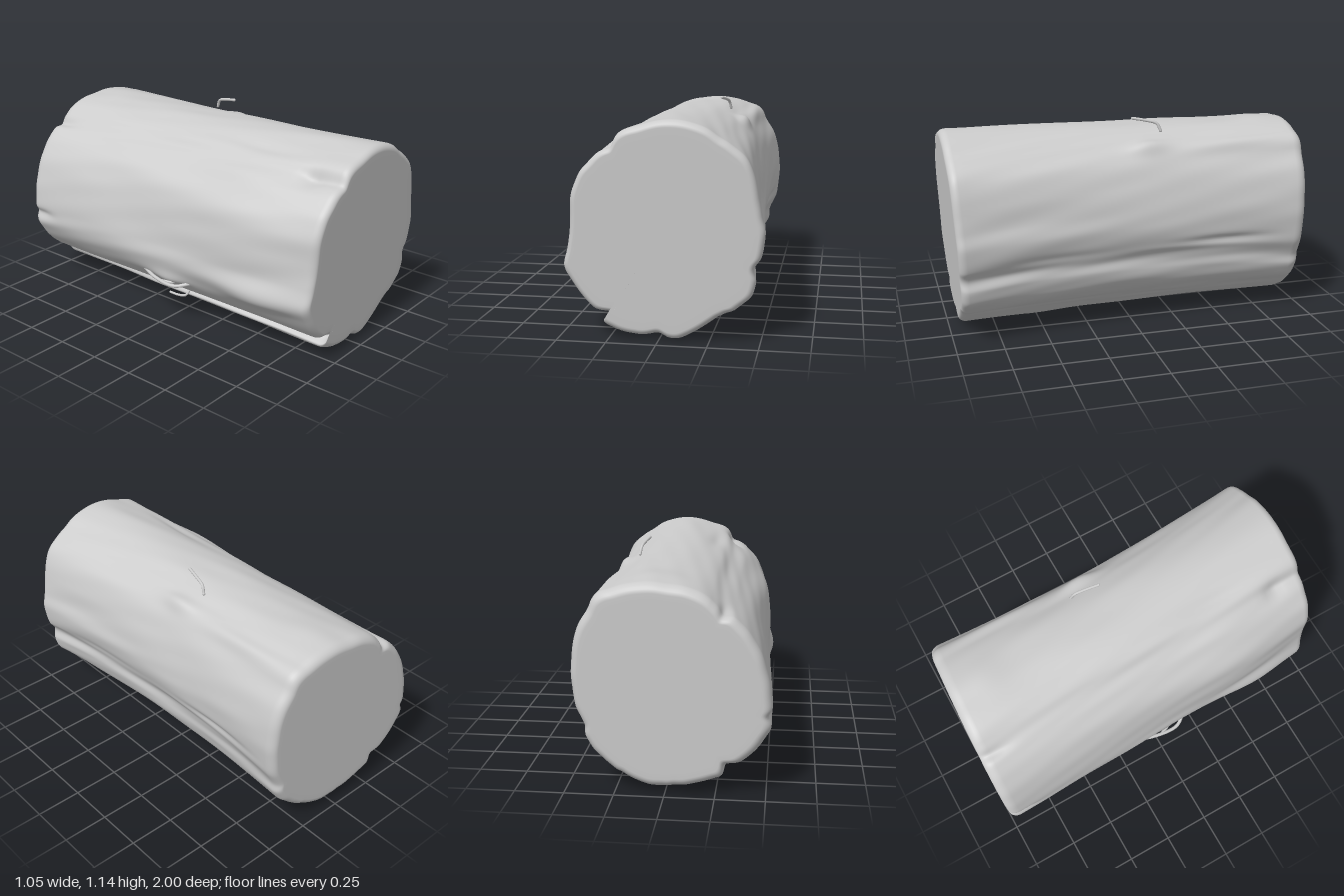
import * as THREE from 'three';

const V = (x, y, z = 0) => new THREE.Vector3(x, y, z);

// matching cross-sections of the two ends, clockwise from the top: [x, y, x, y, ...]
const FRONT = [0.05, 1.1, 0.2, 1.08, 0.3, 1.03, 0.37, 0.98, 0.45, 0.9, 0.49, 0.77, 0.51, 0.65, 0.53, 0.56,
  0.505, 0.44, 0.475, 0.38, 0.485, 0.32, 0.465, 0.25, 0.39, 0.18, 0.33, 0.155, 0.28, 0.12, 0.14, 0.03,
  0.06, 0.015, 0, 0.04, -0.1, 0.025, -0.22, 0.05, -0.275, 0.09, -0.23, 0.13, -0.32, 0.155, -0.42, 0.27,
  -0.465, 0.37, -0.44, 0.47, -0.425, 0.6, -0.415, 0.72, -0.38, 0.83, -0.31, 0.91, -0.24, 0.97, -0.19, 1.03, -0.08, 1.07];
const BACK = [0, 1.065, 0.14, 1.065, 0.26, 1.035, 0.325, 1.005, 0.37, 0.94, 0.43, 0.84, 0.46, 0.7, 0.465, 0.57,
  0.445, 0.43, 0.41, 0.34, 0.4, 0.28, 0.36, 0.21, 0.3, 0.15, 0.25, 0.11, 0.2, 0.08, 0.09, 0.04,
  0, 0.035, -0.06, 0.04, -0.15, 0.055, -0.25, 0.09, -0.3, 0.12, -0.325, 0.16, -0.385, 0.19, -0.48, 0.29,
  -0.525, 0.38, -0.53, 0.47, -0.515, 0.6, -0.47, 0.73, -0.41, 0.84, -0.34, 0.91, -0.275, 0.95, -0.22, 1, -0.12, 1.045];

// local bumps (+) and dents (-): x, y, z, radius across, radius along z, height
const BUMPS = [
  [-0.2, 0.96, 0.92, 0.04, 0.12, -0.05], [-0.25, 0.98, 0.82, 0.05, 0.05, -0.025], [-0.15, 1.03, 0.45, 0.04, 0.2, -0.015],
  [0.33, 1.01, -0.1, 0.05, 0.1, 0.035], [0.3, 1.05, 0.0, 0.03, 0.05, -0.015], [0.34, 1.0, -0.55, 0.05, 0.3, 0.02],
  [0.47, 0.45, 0.35, 0.03, 0.3, -0.015], [0.44, 0.41, -0.3, 0.03, 0.35, -0.015], [0.44, 0.48, -0.5, 0.025, 0.25, -0.015],
  [0.4, 0.15, -0.65, 0.05, 0.08, 0.015], [0.05, 0.02, 0.55, 0.08, 0.2, 0.015], [0.05, 1.08, -0.8, 0.12, 0.12, 0.012],
  [-0.46, 0.6, 0.55, 0.15, 0.35, 0.03], [-0.43, 0.75, 0.5, 0.1, 0.4, 0.025], [-0.3, 0.92, 0.5, 0.08, 0.25, 0.02],
  [-0.47, 0.35, 0.65, 0.08, 0.22, 0.025],
  [-0.45, 0.27, 0.05, 0.04, 0.12, 0.025], [-0.3, 0.94, -0.95, 0.03, 0.1, -0.02],
  [-0.52, 0.42, -0.95, 0.03, 0.1, -0.025], [-0.31, 0.14, -0.95, 0.03, 0.15, -0.025],
];

function sectionPoints(list, count) {
  const pts = [];
  for (let i = 0; i < list.length; i += 2) pts.push(V(list[i], list[i + 1]));
  const curve = new THREE.CatmullRomCurve3(pts, true);
  return Array.from({ length: count }, (_, i) => curve.getPoint(i / count));
}

// one surface point: p on the outline, t along the log, s = scale towards the axis
function barkPoint(p, t, s, around) {
  const bend = 4 * t * (1 - t);
  const rightSide = THREE.MathUtils.smoothstep(p.x, -0.2, 0.4);
  let x = p.x - 0.04 * bend * rightSide;
  // grooves on the lower right bow upwards halfway along
  let y = p.y + 0.04 * bend * rightSide * Math.exp(-(((p.y - 0.37) / 0.2) ** 2));
  const z0 = 1 - 2 * t;
  const dir = V(x, y - 0.55).normalize();
  let h = 0.003 * Math.sin(around * 11 + 2 * Math.sin(t * 5)) * Math.sin(t * 9 + around * 3)
    + 0.0015 * Math.sin(around * 26 + t * 6) * Math.sin(t * 14 + around * 5);
  for (const [bx, by, bz, r, rz, d] of BUMPS) {
    h += d * Math.exp(-((x - bx) ** 2 + (y - by) ** 2) / (r * r) - ((z0 - bz) / rz) ** 2);
  }
  x = (x + dir.x * h) * s;
  y = 0.55 + (y - 0.55 + dir.y * h) * s;
  // slightly slanted saw cuts
  const zFront = 0.945 + 0.052 * y;
  const zBack = -0.977 + 0.045 * x - 0.02 * (y - 0.5);
  return [x, Math.max(y, 0), THREE.MathUtils.lerp(zFront, zBack, t)];
}

// rings from the middle of a cut, over its rounded edge: [t, scale]
function capRings(radius) {
  const rings = [0.001, 0.3, 0.6, 0.85].map((s) => [0, s]);
  for (let k = 0; k < 7; k++) {
    const a = k / 7 * Math.PI / 2;
    rings.push([radius / 2 * (1 - Math.cos(a)), 1 - radius * 1.5 * (1 - Math.sin(a))]);
  }
  return rings;
}

function logGeometry() {
  const N = 330, front = sectionPoints(FRONT, N), back = sectionPoints(BACK, N);
  const rFront = 0.045, rBack = 0.06;
  const stations = capRings(rFront);
  for (let i = 0; i <= 50; i++) stations.push([THREE.MathUtils.lerp(rFront / 2, 1 - rBack / 2, i / 50), 1]);
  capRings(rBack).reverse().forEach(([t, s]) => stations.push([1 - t, s]));
  const pos = [], idx = [];
  stations.forEach(([t, s], i) => {
    for (let j = 0; j < N; j++) {
      pos.push(...barkPoint(front[j].clone().lerp(back[j], t), t, s, j / N * Math.PI * 2));
      if (i === stations.length - 1) continue;
      const a = i * N + j, b = i * N + (j + 1) % N, c = a + N, d = b + N;
      idx.push(a, b, c, b, d, c);
    }
  });
  const g = new THREE.BufferGeometry();
  g.setAttribute('position', new THREE.Float32BufferAttribute(pos, 3));
  g.setIndex(idx);
  g.computeVertexNormals();
  return g;
}

export function createModel() {
  const group = new THREE.Group();
  const mat = new THREE.MeshStandardMaterial({ color: 0xcccccc });
  const add = (name, geo) => {
    const m = new THREE.Mesh(geo, mat);
    m.name = name;
    group.add(m);
  };
  add('log', logGeometry());

  // thin broken twigs, each a tube closed by round ends
  const twig = (name, r, ...pts) => {
    add(name, new THREE.TubeGeometry(new THREE.CatmullRomCurve3(pts), 16, r, 8));
    for (const p of [pts[0], pts[pts.length - 1]]) {
      add(name + 'End', new THREE.SphereGeometry(r, 8, 6).translate(p.x, p.y, p.z));
    }
  };
  twig('topTwig', 0.008, V(0.19, 1.13, -0.03), V(0.205, 1.118, -0.1), V(0.217, 1.1, -0.16), V(0.225, 1.06, -0.18));
  twig('sideTwig', 0.01, V(-0.44, 0.27, -0.16), V(-0.475, 0.255, -0.05), V(-0.485, 0.25, 0.1), V(-0.43, 0.27, 0.18));
  twig('sideTwigBranch', 0.008, V(-0.48, 0.252, 0.0), V(-0.455, 0.25, 0.06), V(-0.41, 0.25, 0.08));
  twig('lowerTwig', 0.007, V(-0.3, 0.16, 0.06), V(-0.322, 0.115, 0.04), V(-0.318, 0.095, -0.02), V(-0.31, 0.088, -0.09));
  return group;
}
